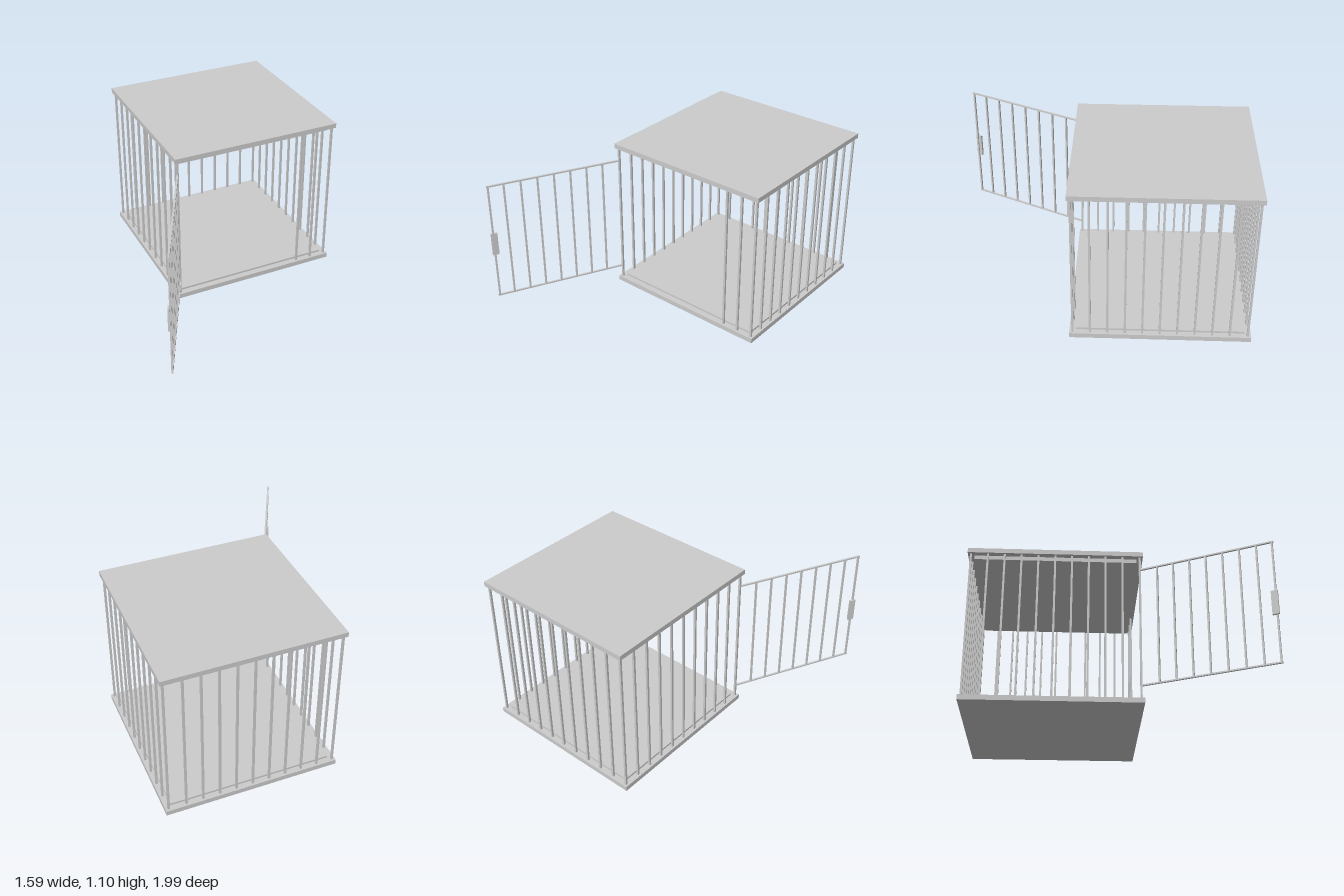
import * as THREE from 'three';

const material = new THREE.MeshStandardMaterial({ color: 0xcccccc, flatShading: true });

// Box given by its size and centre
function addBox(parent, name, [w, h, d], [x, y, z]) {
  const mesh = new THREE.Mesh(new THREE.BoxGeometry(w, h, d), material);
  mesh.name = name;
  mesh.position.set(x, y, z);
  parent.add(mesh);
  return mesh;
}

export function createModel() {
  const cage = new THREE.Group();
  cage.name = 'cage';

  const cx = 0.195, cz = -0.407; // centre of the cage body
  const plate = 1.185, inset = 1.1, height = 1.1;
  const half = 0.571, step = 0.1138, bar = 0.014;

  // Floor and roof slabs, each with a smaller slab on its inner face
  addBox(cage, 'floor', [plate, 0.034, plate], [cx, 0.017, cz]);
  addBox(cage, 'floorInset', [inset, 0.014, inset], [cx, 0.041, cz]);
  addBox(cage, 'roof', [plate, 0.033, plate], [cx, height - 0.0165, cz]);
  addBox(cage, 'roofInset', [inset, 0.029, inset], [cx, 1.0535, cz]);

  const addBar = (name, dx, dz) =>
    addBox(cage, name, [bar, 1.036, bar], [cx + dx, 0.551, cz + dz]);

  // Corner posts
  for (const sx of [-1, 1]) for (const sz of [-1, 1]) addBar('cornerPost', sx * half, sz * half);

  // Bars between the posts; the front keeps a doorway open on its right
  for (let i = 0; i < 9; i++) {
    const t = (i - 4) * step;
    addBar('backBar', t - 0.003, -half);
    addBar('leftBar', half, t + 0.002);
    addBar('rightBar', -half, t - 0.002);
    if (i > 6) addBar('frontBar', t + 0.003, half);
  }

  // Open door, swung about the front right post; local x runs along the door
  const door = new THREE.Group();
  door.name = 'door';
  door.position.set(cx - half, 0, cz + half);
  door.rotation.y = Math.atan2(-0.897, -0.442);
  cage.add(door);

  const bottom = 0.125, top = 0.972, length = 0.921;
  for (const y of [bottom, top]) addBox(door, 'doorRail', [length, 0.01, 0.012], [length / 2, y, 0]);
  for (let i = 0; i < 8; i++) {
    const x = i < 7 ? 0.124 + i * step : 0.911;
    addBox(door, 'doorBar', [0.012, top - bottom, 0.012], [x, (top + bottom) / 2, 0]);
  }
  addBox(door, 'doorLatch', [0.044, 0.165, 0.014], [0.904, 0.531, 0.009]);

  return cage;
}
